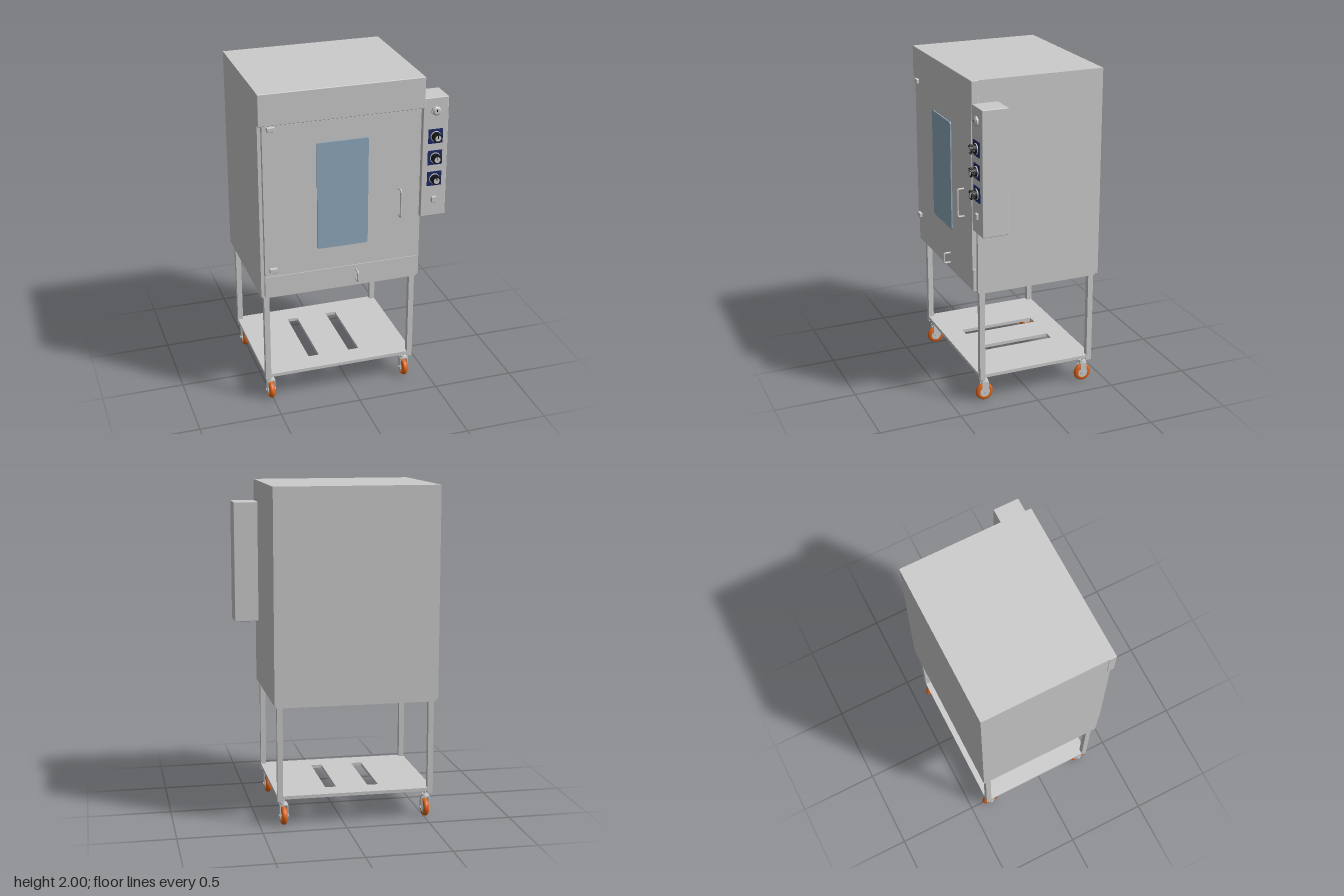
import * as THREE from 'three';
import { RoundedBoxGeometry } from 'three/addons/geometries/RoundedBoxGeometry.js';

const mat = (color) => new THREE.MeshStandardMaterial({ color });
const grey = mat(0xcccccc);
const glass = mat(0x8fa9bd);
const navy = mat(0x1f2a66);
const black = mat(0x15181c);
const orange = mat(0xe0651a);

export function createModel() {
  const model = new THREE.Group();

  const add = (name, geometry, material = grey, parent = model) => {
    const mesh = new THREE.Mesh(geometry, material);
    mesh.name = name;
    parent.add(mesh);
    return mesh;
  };
  // Box given by its two extreme corners
  const box = (name, [x0, y0, z0], [x1, y1, z1], material, parent, radius = 0) => {
    const size = [x1 - x0, y1 - y0, z1 - z0];
    const geometry = radius ? new RoundedBoxGeometry(...size, 2, radius) : new THREE.BoxGeometry(...size);
    const mesh = add(name, geometry, material, parent);
    mesh.position.set((x0 + x1) / 2, (y0 + y1) / 2, (z0 + z1) / 2);
    return mesh;
  };
  // Cylinder pointing along z, from z0 to z1
  const knobDisc = (name, x, y, z0, z1, r0, r1, material, parent, sides = 32) => {
    const mesh = add(name, new THREE.CylinderGeometry(r1, r0, z1 - z0, sides).rotateX(Math.PI / 2), material, parent);
    mesh.position.set(x, y, (z0 + z1) / 2);
    return mesh;
  };
  // Cylinder along x, centred on its parent
  const axleDisc = (name, radius, width, material, parent) =>
    add(name, new THREE.CylinderGeometry(radius, radius, width, 32).rotateZ(Math.PI / 2), material, parent);

  // Cabinet with overhanging hood
  box('cabinet', [-0.565, 0.735, -0.427], [0.415, 2, 0.35]);
  box('hood', [-0.567, 1.812, 0.336], [0.417, 2, 0.382], grey, model, 0.004);

  // Door, lower drawer panel and window
  box('door', [-0.545, 0.878, 0.35], [0.393, 1.81, 0.376]);
  box('lowerPanel', [-0.545, 0.74, 0.35], [0.393, 0.872, 0.37]);
  const windowShape = new THREE.Shape();
  const [wx0, wx1, wy0, wy1, c] = [-0.23, 0.078, 1.018, 1.678, 0.008];
  windowShape.moveTo(wx0 + c, wy0).lineTo(wx1 - c, wy0).lineTo(wx1, wy0 + c).lineTo(wx1, wy1 - c)
    .lineTo(wx1 - c, wy1).lineTo(wx0 + c, wy1).lineTo(wx0, wy1 - c).lineTo(wx0, wy0 + c).closePath();
  add('window', new THREE.ExtrudeGeometry(windowShape, { depth: 0.008, bevelEnabled: false }), glass)
    .position.z = 0.376;

  // Hinges
  for (const y of [1.793, 0.92]) box('hinge', [-0.52, y - 0.014, 0.37], [-0.474, y + 0.014, 0.394], grey, model, 0.004);

  // Bent bar handles
  const handle = (name, x, y0, y1, z0, z1, r) => {
    const b = 0.012;
    const path = new THREE.CurvePath();
    const p = (y, z) => new THREE.Vector3(x, y, z);
    path.add(new THREE.LineCurve3(p(y0, z0), p(y0, z1 - b)));
    path.add(new THREE.QuadraticBezierCurve3(p(y0, z1 - b), p(y0, z1), p(y0 + b, z1)));
    path.add(new THREE.LineCurve3(p(y0 + b, z1), p(y1 - b, z1)));
    path.add(new THREE.QuadraticBezierCurve3(p(y1 - b, z1), p(y1, z1), p(y1, z1 - b)));
    path.add(new THREE.LineCurve3(p(y1, z1 - b), p(y1, z0)));
    add(name, new THREE.TubeGeometry(path, 80, r, 10));
  };
  handle('doorHandle', 0.27, 1.166, 1.334, 0.37, 0.415, 0.006);
  handle('panelHandle', 0.011, 0.78, 0.842, 0.365, 0.41, 0.006);

  // Control box with gauge, three dials and a switch
  const controls = new THREE.Group();
  controls.name = 'controls';
  model.add(controls);
  box('controlBox', [0.408, 1.13, 0.22], [0.563, 1.87, 0.378], grey, controls, 0.004);
  const kx = 0.486;
  knobDisc('gaugeBezel', kx, 1.79, 0.378, 0.388, 0.03, 0.03, grey, controls);
  knobDisc('gaugeFace', kx, 1.79, 0.388, 0.395, 0.026, 0.018, grey, controls);
  box('gaugeNeedle', [kx - 0.002, 1.787, 0.394], [kx + 0.002, 1.803, 0.397], black, controls);
  for (const y of [1.635, 1.502, 1.37]) {
    box('dialPlate', [kx - 0.044, y - 0.044, 0.376], [kx + 0.044, y + 0.044, 0.383], navy, controls);
    knobDisc('dialRing', kx, y, 0.383, 0.388, 0.032, 0.031, grey, controls);
    knobDisc('dialSkirt', kx, y, 0.388, 0.397, 0.028, 0.026, black, controls);
    knobDisc('dialKnob', kx, y, 0.397, 0.422, 0.026, 0.024, black, controls);
    // Grip ribs
    for (let i = 0; i < 16; i++) {
      const a = (i / 16) * Math.PI * 2;
      knobDisc('dialRib', kx + 0.0245 * Math.cos(a), y + 0.0245 * Math.sin(a), 0.4, 0.42, 0.003, 0.003, black, controls, 6);
    }
    knobDisc('dialCap', kx, y, 0.422, 0.424, 0.018, 0.018, grey, controls);
    const pointer = box('dialPointer', [kx - 0.002, y, 0.422], [kx + 0.002, y + 0.02, 0.4255], black, controls);
    pointer.rotation.z = 0;
  }
  box('switch', [kx - 0.015, 1.218, 0.375], [kx + 0.015, 1.256, 0.392], grey, controls, 0.004);

  // Stand: top frame, legs and slotted shelf
  const stand = new THREE.Group();
  stand.name = 'stand';
  model.add(stand);
  const [sx0, sx1, sz0, sz1, t] = [-0.546, 0.398, -0.406, 0.334, 0.033];
  box('topFrame', [sx0 - 0.006, 0.72, sz0 - 0.006], [sx1 + 0.006, 0.735, sz1 + 0.006], grey, stand);
  for (const x of [sx0, sx1 - t]) {
    for (const z of [sz0, sz1 - t]) box('leg', [x, 0.152, z], [x + t, 0.72, z + t], grey, stand);
  }
  const rectangle = (path, x0, y0, x1, y1) =>
    path.moveTo(x0, y0).lineTo(x1, y0).lineTo(x1, y1).lineTo(x0, y1).closePath();
  const shelf = rectangle(new THREE.Shape(), sx0, -sz1, sx1, -sz0);
  for (const x of [-0.205, 0.055]) {
    shelf.holes.push(rectangle(new THREE.Path(), x - 0.033, -0.205, x + 0.033, 0.275));
  }
  add('shelf', new THREE.ExtrudeGeometry(shelf, { depth: 0.02, bevelEnabled: false }).rotateX(-Math.PI / 2), grey, stand)
    .position.y = 0.166;

  // Casters: rounded orange tyre, hub, fork and stem
  const tyreProfile = [[0.032, -0.016], [0.046, -0.016], [0.052, -0.009], [0.055, 0], [0.052, 0.009],
    [0.046, 0.016], [0.032, 0.016], [0.032, -0.016]].map(([r, y]) => new THREE.Vector2(r, y));
  const tyre = new THREE.LatheGeometry(tyreProfile, 40).rotateZ(Math.PI / 2);
  for (const x of [-0.508, 0.357]) {
    for (const z of [-0.365, 0.293]) {
      const caster = new THREE.Group();
      caster.name = 'caster';
      caster.position.set(x, 0.055, z);
      model.add(caster);
      add('tyre', tyre, orange, caster);
      axleDisc('hub', 0.033, 0.028, grey, caster);
      axleDisc('axle', 0.009, 0.06, grey, caster);
      for (const s of [-1, 1]) {
        const fx = s * 0.022;
        box('forkArm', [fx - 0.003, -0.008, -0.02], [fx + 0.003, 0.07, 0.02], grey, caster);
      }
      box('forkCrown', [-0.025, 0.064, -0.022], [0.025, 0.072, 0.022], grey, caster);
      add('swivel', new THREE.CylinderGeometry(0.02, 0.024, 0.012, 24), grey, caster).position.y = 0.078;
      add('stem', new THREE.CylinderGeometry(0.008, 0.008, 0.04, 16), grey, caster).position.y = 0.1;
    }
  }
  return model;
}
